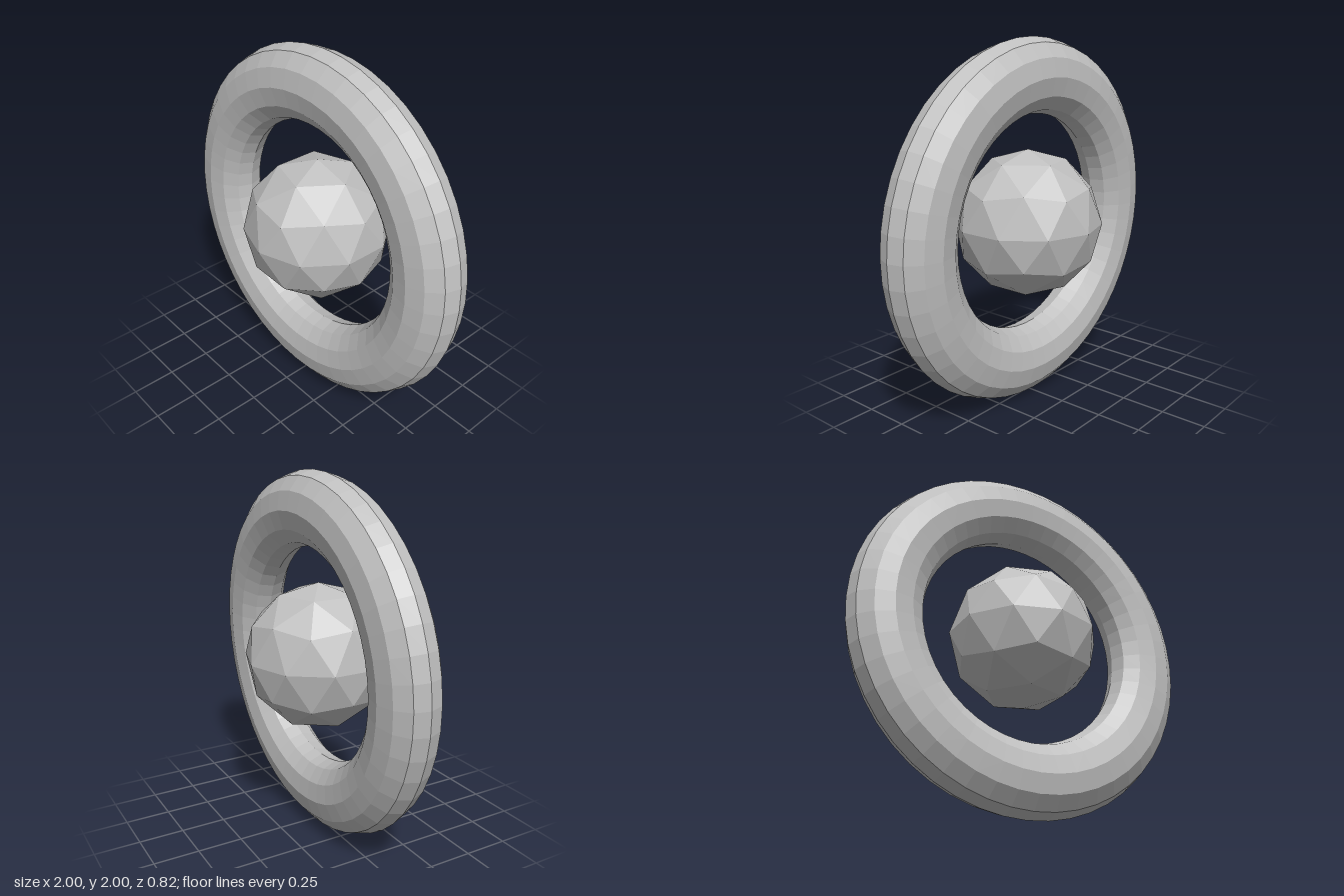
import * as THREE from 'three';

const grey = new THREE.MeshStandardMaterial({ color: 0xbfbfbf });
grey.name = 'grey';
grey.flatShading = true;

export function createModel() {
  const model = new THREE.Group();
  model.name = 'ringAndCore';

  // Upright ring with a slightly flattened tube, leaning back two degrees
  const ringGeometry = new THREE.TorusGeometry(0.8, 0.2, 12, 48);
  ringGeometry.scale(1, 1, 0.8);
  const ring = new THREE.Mesh(ringGeometry, grey);
  ring.name = 'ring';
  ring.position.y = 1;
  ring.rotation.x = -0.035;

  // Faceted ball floating in the middle, turned to stand on a five-sided corner
  const ballGeometry = new THREE.IcosahedronGeometry(0.408, 1);
  ballGeometry.rotateZ(-Math.atan(2 / (1 + Math.sqrt(5))));
  const ball = new THREE.Mesh(ballGeometry, grey);
  ball.name = 'ball';
  ball.position.y = 1;

  model.add(ring, ball);
  return model;
}
